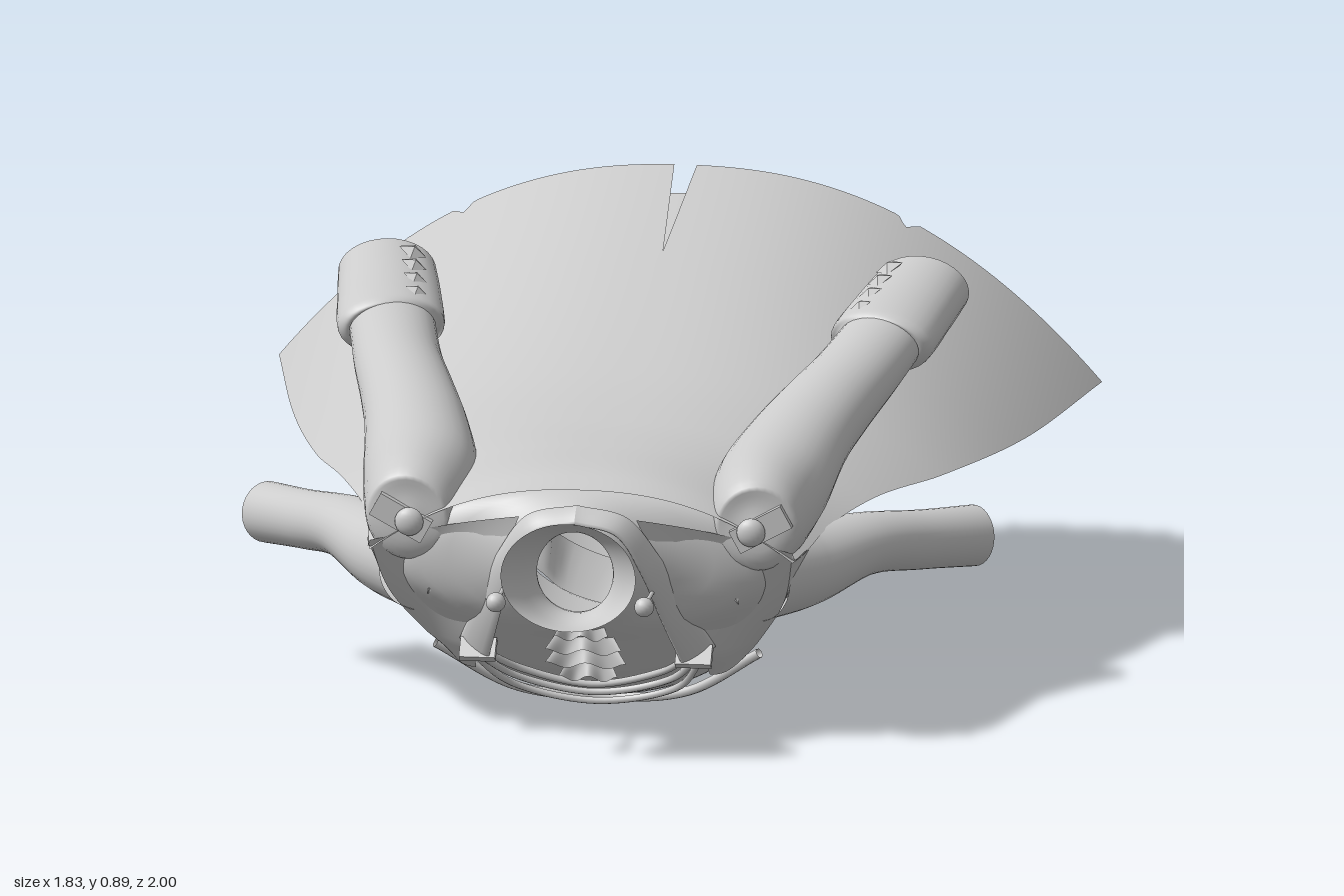
import * as THREE from 'three';
import { ParametricGeometry } from 'three/addons/geometries/ParametricGeometry.js';

const material = new THREE.MeshStandardMaterial({ color: 0xcccccc, side: THREE.DoubleSide });
const V = (x, y, z) => new THREE.Vector3(x, y, z);

// Smooth interpolation through rows of [t, a, b, ...], t rising
function sampler(rows) {
  const slope = (i, k) => {
    const a = rows[Math.max(0, i - 1)], b = rows[Math.min(rows.length - 1, i + 1)];
    return (b[k] - a[k]) / (b[0] - a[0]);
  };
  return (t) => {
    let i = 0;
    while (i < rows.length - 2 && t > rows[i + 1][0]) i++;
    const h = rows[i + 1][0] - rows[i][0], s = THREE.MathUtils.clamp((t - rows[i][0]) / h, 0, 1);
    const s2 = s * s, s3 = s2 * s;
    return rows[i].slice(1).map((p, j) => p * (2 * s3 - 3 * s2 + 1) + rows[i + 1][j + 1] * (3 * s2 - 2 * s3)
      + h * slope(i, j + 1) * (s3 - 2 * s2 + s) + h * slope(i + 1, j + 1) * (s3 - s2));
  };
}

export function createModel() {
  const model = new THREE.Group();
  const add = (name, geometry) => {
    const mesh = new THREE.Mesh(geometry, material);
    mesh.name = name;
    model.add(mesh);
    return mesh;
  };
  const surface = (name, fn, nu, nv) => add(name, new ParametricGeometry(fn, nu, nv));

  // Oval shell along z; rows are [z, halfWidth, bottom, top]
  const shell = (name, rows, nv, fold = () => 1) => {
    const at = sampler(rows), z0 = rows[0][0], z1 = rows[rows.length - 1][0];
    return surface(name, (u, v, p) => {
      const z = z0 + (z1 - z0) * v, [w, lo, hi] = at(z), a = u * Math.PI * 2, f = fold(a, v);
      p.set(w * f * Math.cos(a), (lo + hi) / 2 + (hi - lo) / 2 * f * Math.sin(a), z);
    }, 96, nv);
  };

  // Open sleeve through [x, y, z, horizontalRadius, verticalRadius]
  const sleeve = (name, side, pts) => {
    const path = new THREE.CatmullRomCurve3(pts.map((q) => V(q[0] * side, q[1], q[2])));
    const radii = sampler(pts.map((q, i) => [i / (pts.length - 1), q[3], q[4]]));
    return surface(name, (u, v, p) => {
      const t = path.getTangent(v), [rx, ry] = radii(v), a = u * Math.PI * 2;
      const across = V(0, 1, 0).cross(t).normalize(), up = t.clone().cross(across);
      path.getPoint(v, p);
      p.addScaledVector(across, rx * Math.cos(a)).addScaledVector(up, ry * Math.sin(a));
    }, 32, 36);
  };

  const cord = (name, r, ...pts) => add(name,
    new THREE.TubeGeometry(new THREE.CatmullRomCurve3(pts.map((q) => V(...q))), 40, r, 8));

  // Tunic body
  shell('tunicBody', [
    [0.0, 0.28, 0.12, 0.57], [0.06, 0.285, 0.105, 0.57], [0.2, 0.32, 0.08, 0.58], [0.35, 0.355, 0.045, 0.57],
    [0.48, 0.385, 0.04, 0.57], [0.6, 0.41, 0.11, 0.575], [0.7, 0.42, 0.2, 0.58], [0.76, 0.38, 0.25, 0.58],
    [0.8, 0.23, 0.28, 0.57], [0.85, 0.13, 0.31, 0.55], [0.89, 0.09, 0.325, 0.515],
  ], 50);
  // Flared neck collar
  shell('neckCollar', [[0.85, 0.095, 0.32, 0.52], [0.89, 0.085, 0.325, 0.51], [0.94, 0.11, 0.31, 0.53], [1.0, 0.15, 0.31, 0.555]], 12);
  // Waist seam
  shell('waistBand', [[-0.01, 0.283, 0.113, 0.575], [0.015, 0.288, 0.106, 0.58], [0.04, 0.285, 0.108, 0.575]], 6);
  // Pleated skirt, the folds deepening toward the hem
  shell('skirt', [[-0.8, 0.445, 0.015, 0.8], [-0.4, 0.375, 0.06, 0.7], [0.01, 0.28, 0.12, 0.57]], 24,
    (a, v) => 1 - 0.1 * Math.sin(Math.PI * Math.min(1, (1 - v) * 0.75 + 0.1)) * Math.pow(0.5 + 0.5 * Math.cos(8 * a), 2.5));
  shell('skirtLining', [[-0.91, 0.44, 0.085, 0.83], [-0.7, 0.415, 0.09, 0.76], [-0.45, 0.35, 0.1, 0.68]], 10);

  // Coat back and tails: [z, halfWidth, edgeHeight, ridgeHeight]
  const coat = sampler([
    [-1, 0.915, 0.41, 0.915], [-0.5, 0.815, 0.405, 0.775], [0, 0.695, 0.44, 0.65], [0.3, 0.595, 0.465, 0.615],
    [0.5, 0.52, 0.45, 0.61], [0.7, 0.485, 0.43, 0.605], [0.79, 0.47, 0.43, 0.58],
  ]);
  for (const side of [1, -1]) {
    const name = side > 0 ? 'left' : 'right';
    surface(name + 'CoatBack', (u, v, p) => {
      const notch = 0.035 * Math.max(0, 1 - Math.abs(u - 0.535) / 0.025);
      const rear = -0.92 - 0.08 * Math.pow(u, 2.5) + notch;
      const z = rear + (0.79 - rear) * v, [w, edge, ridge] = coat(z);
      const slit = 0.025 * Math.max(0, (-z - 0.55) / 0.37);
      const x = slit + (w - slit) * u;
      p.set(side * x, ridge - (ridge - edge) * Math.pow(x / w, 2.35), z);
    }, 80, 60);

    // Coat front panel wrapping the shoulder and chest
    const front = sampler([[0, 0.47, 0.45, 0.785], [0.4, 0.44, 0.32, 0.7], [0.75, 0.375, 0.21, 0.61], [1, 0.33, 0.15, 0.54]]);
    const inner = sampler([[0, 0.13, 0.53, 0.845], [0.4, 0.2, 0.36, 0.785], [0.75, 0.25, 0.2, 0.69], [1, 0.26, 0.12, 0.59]]);
    surface(name + 'CoatFront', (u, v, p) => {
      const a = inner(v), b = front(v), c = Math.sin(u * Math.PI) * 0.01 * v;
      const dip = Math.sin(u * Math.PI) * 0.03 * (1 - v);
      p.set(side * (a[0] + (b[0] - a[0]) * u), a[1] + (b[1] - a[1]) * u - c, a[2] + (b[2] - a[2]) * u + c - dip);
    }, 14, 20);
    // Coat side between the front panel and the tail edge
    const rim = sampler([[0, 0.475, 0.435, 0.785], [0.5, 0.485, 0.42, 0.64], [1, 0.42, 0.28, 0.5]]);
    surface(name + 'CoatSide', (u, v, p) => {
      const a = front(u), b = rim(u);
      p.set(side * (a[0] + (b[0] - a[0]) * v), a[1] + (b[1] - a[1]) * v, a[2] + (b[2] - a[2]) * v);
    }, 20, 10);

    // Lapel band from the nape down to the chest clasp
    const lapel = new THREE.CatmullRomCurve3([V(0, 0.545, 0.875), V(side * 0.1, 0.52, 0.87), V(side * 0.16, 0.43, 0.845),
      V(side * 0.205, 0.31, 0.78), V(side * 0.25, 0.19, 0.7)]);
    surface(name + 'Lapel', (u, v, p) => {
      const a = u * Math.PI * 2, r = 0.035;
      lapel.getPoint(v, p);
      p.add(V(side * r * Math.cos(a) * v, r * 0.5 * Math.cos(a), 0.012 * Math.sin(a) - 0.02 * Math.cos(a)));
    }, 12, 30);

    // Coat sleeve with a full, squared shoulder
    sleeve(name + 'CoatSleeve', side, [
      [0.39, 0.5, 0.785, 0.02, 0.02], [0.39, 0.5, 0.775, 0.085, 0.09], [0.385, 0.51, 0.7, 0.11, 0.12],
      [0.392, 0.54, 0.53, 0.127, 0.115], [0.425, 0.595, 0.35, 0.115, 0.095], [0.465, 0.635, 0.2, 0.105, 0.087],
      [0.505, 0.67, 0.06, 0.098, 0.078], [0.545, 0.71, -0.13, 0.095, 0.068]]);
    // Turned-back cuff
    sleeve(name + 'CoatCuff', side, [
      [0.541, 0.705, -0.1, 0.095, 0.065], [0.545, 0.71, -0.115, 0.118, 0.075],
      [0.57, 0.735, -0.27, 0.115, 0.077], [0.595, 0.758, -0.415, 0.108, 0.077]]);
    // Diamond studs on the cuff
    for (let i = 0; i < 4; i++) {
      const stud = add(name + 'CuffStud', new THREE.OctahedronGeometry(0.038 - i * 0.003));
      stud.scale.set(0.85, 0.35, 1);
      stud.position.set(side * (0.53 - i * 0.012), 0.818 - i * 0.012, -0.355 + i * 0.068);
      stud.rotation.set(0.16, 0, side * 0.4);
    }

    // Inner tunic sleeve
    sleeve(name + 'TunicSleeve', side, [
      [0.36, 0.37, 0.64, 0.13, 0.11], [0.45, 0.365, 0.54, 0.11, 0.095], [0.57, 0.38, 0.4, 0.08, 0.07],
      [0.68, 0.36, 0.265, 0.067, 0.066], [0.785, 0.342, 0.14, 0.067, 0.068]]);

    // Shoulder tab with round button
    const tab = add(name + 'ShoulderTab', new THREE.BoxGeometry(0.13, 0.055, 0.02));
    tab.position.set(side * 0.4, 0.505, 0.79);
    tab.rotation.z = side * 0.5;
    const button = add(name + 'ShoulderButton', new THREE.SphereGeometry(0.032, 20, 12));
    button.scale.z = 0.6;
    button.position.set(side * 0.38, 0.5, 0.805);

    // Collar pin with ball end
    cord(name + 'CollarPin', 0.005, [side * 0.165, 0.365, 0.8], [side * 0.165, 0.365, 0.97]);
    add(name + 'PinBall', new THREE.SphereGeometry(0.022, 16, 12)).position.set(side * 0.165, 0.365, 0.97);

    // Chest clasp and lapel points
    const clasp = add(name + 'ChestClasp', new THREE.BoxGeometry(0.08, 0.05, 0.02));
    clasp.position.set(side * 0.24, 0.19, 0.705);
    clasp.rotation.x = -0.7;
    const flap = add(name + 'LapelPoint', new THREE.ConeGeometry(0.035, 0.08, 3));
    flap.scale.z = 0.3;
    flap.position.set(side * 0.33, 0.36, 0.755);
    flap.rotation.z = Math.PI + side * 0.4;
    // Embroidered knots on the coat side
    for (let i = 0; i < 3; i++) {
      const knot = add(name + 'SideKnot', new THREE.TorusGeometry(0.018, 0.006, 6, 14));
      knot.position.set(side * (0.47 + i * 0.025), 0.365 + i * 0.01, 0.63 - i * 0.04);
      knot.rotation.y = side * 0.9;
    }
  }

  // Ruffled neck frill lying along the chest
  [[0.06, 0.285, 0.77], [0.085, 0.245, 0.735], [0.09, 0.205, 0.695], [0.065, 0.165, 0.655]].forEach(([w, y, z], i) => {
    surface('frillTier' + (i + 1), (u, v, p) => {
      const x = (u * 2 - 1) * w * (0.7 + 0.3 * v), wave = Math.cos(u * Math.PI * 4);
      p.set(x, y - 0.045 * v + 0.008 * wave * v, z + 0.01 * v + 0.008 * wave * v);
    }, 36, 6);
  });

  // Draped chest cords and the lowest hem swag
  for (const [x, low, z] of [[0.25, 0.07, 0.58], [0.23, 0.095, 0.61], [0.26, 0.04, 0.54]])
    cord('chestCord', 0.008, [-x, 0.19, 0.71], [-x * 0.68, low + 0.04, z + 0.03], [0, low, z], [x * 0.68, low + 0.04, z + 0.03], [x, 0.19, 0.71]);
  cord('hemSwag', 0.011, [-0.36, 0.155, 0.52], [-0.19, 0.045, 0.45], [0, 0.014, 0.4], [0.19, 0.045, 0.45], [0.36, 0.155, 0.52]);
  return model;
}
